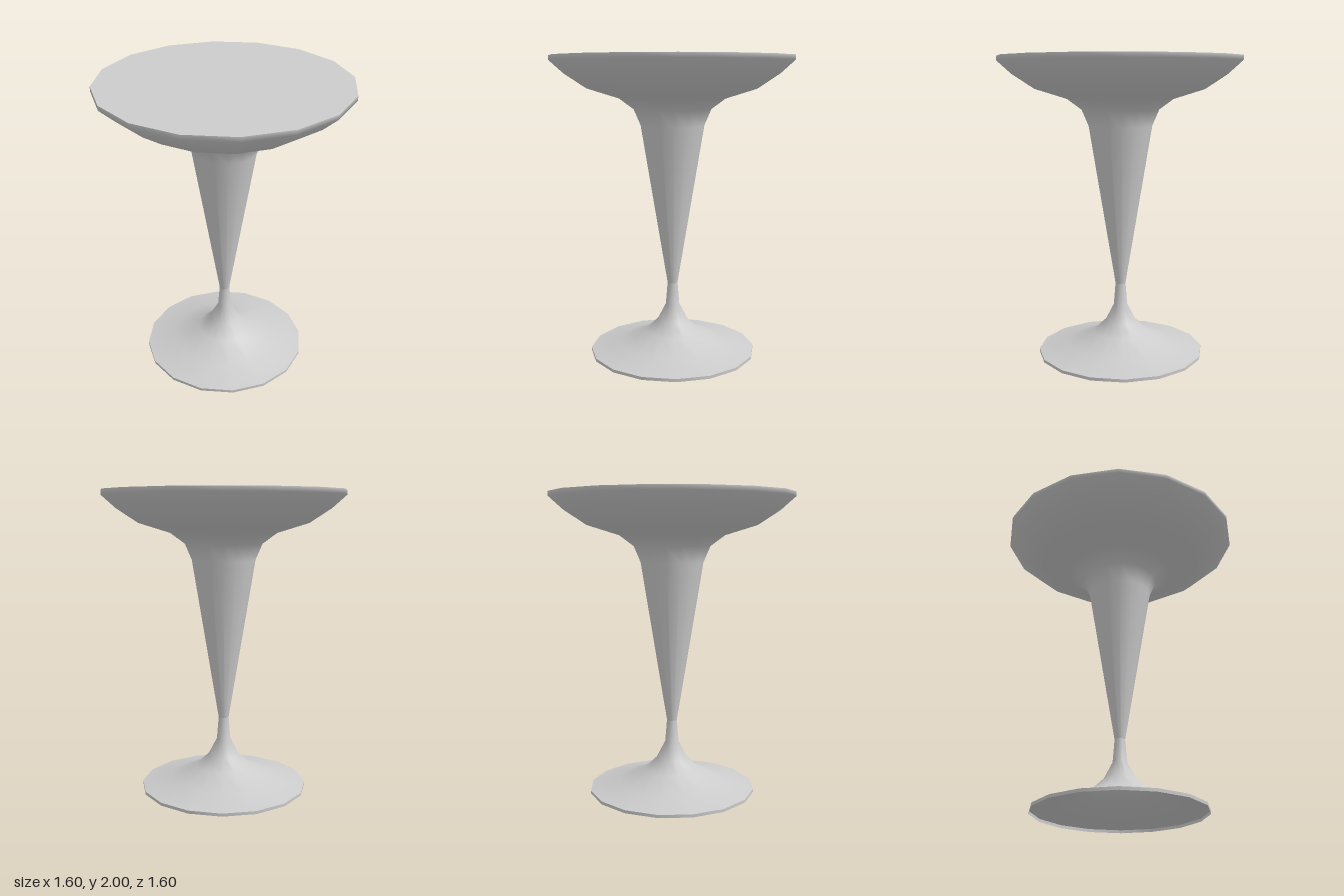
import * as THREE from 'three';

const SIDES = 16;

export function createModel() {
  const group = new THREE.Group();
  group.name = 'pedestalTable';
  const solid = new THREE.MeshStandardMaterial({ color: 0xcccccc });
  const shell = new THREE.MeshStandardMaterial({ color: 0xcccccc, side: THREE.DoubleSide });

  // Turned part from [radius, height] points, listed bottom to top
  const turned = (name, profile, material) => {
    const points = profile.map(([r, y]) => new THREE.Vector2(r, y));
    const mesh = new THREE.Mesh(new THREE.LatheGeometry(points, SIDES), material);
    mesh.name = name;
    group.add(mesh);
  };

  // Hollow flared foot, open underneath, with a sharp vertical rim
  turned('footRim', [[0.56, 0], [0.56, 0.02]], shell);
  turned('foot', [
    [0.56, 0.02], [0.365, 0.06], [0.185, 0.14], [0.105, 0.215], [0.046, 0.33], [0.034, 0.48],
  ], shell);

  // Tapered column flowing into the underside of the top
  turned('columnAndTop', [
    [0.034, 0.48], [0.21, 1.55], [0.255, 1.655], [0.35, 1.725],
    [0.56, 1.79], [0.705, 1.885], [0.8, 1.97], [0.8, 2],
  ], solid);

  // Flat table surface
  const surface = new THREE.Mesh(new THREE.CircleGeometry(0.8, SIDES).rotateX(-Math.PI / 2), solid);
  surface.name = 'tableSurface';
  surface.position.y = 2;
  group.add(surface);

  return group;
}
